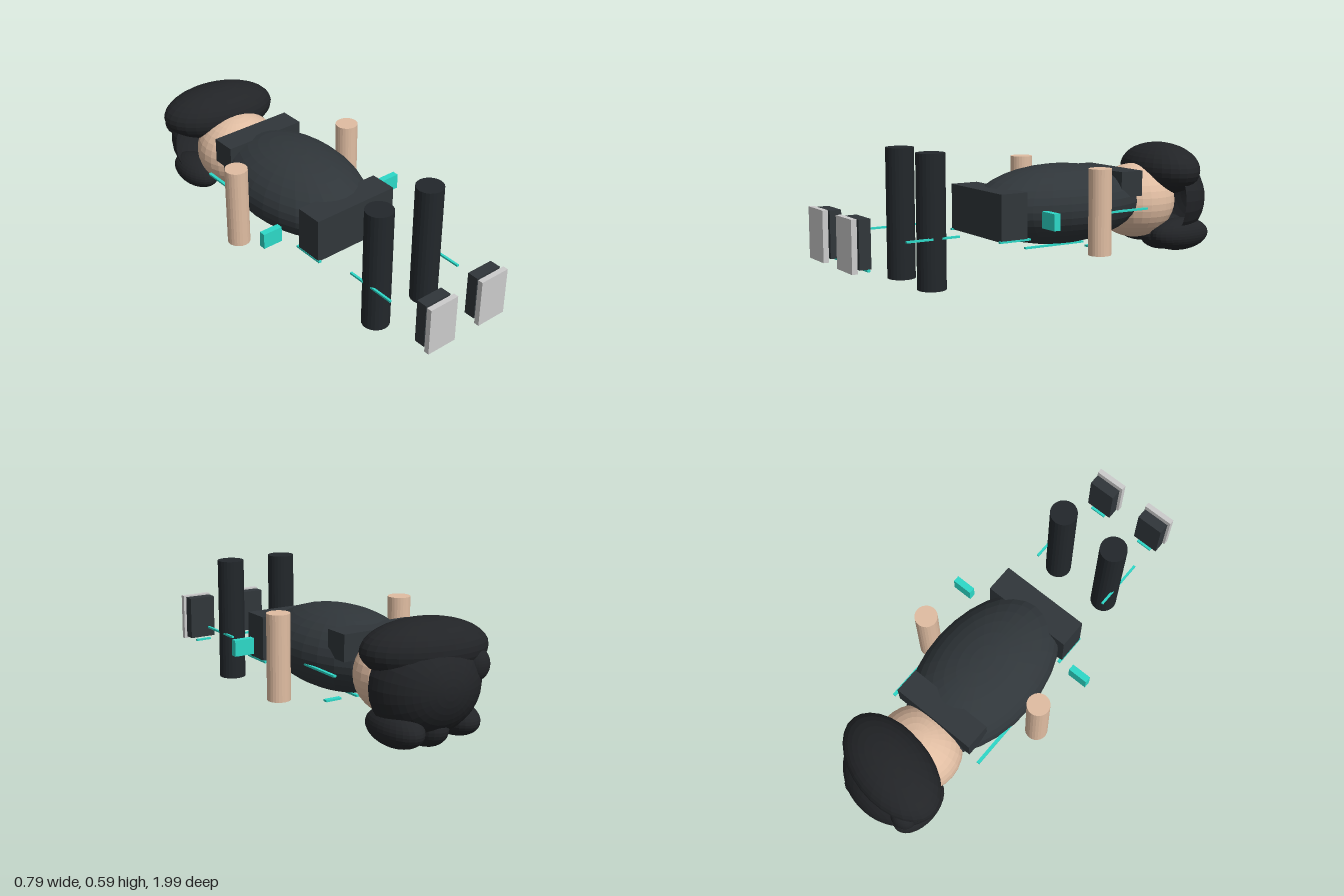
import * as THREE from 'three';

const mat = (color) => new THREE.MeshStandardMaterial({ color, flatShading: true, side: THREE.DoubleSide });

export function createModel() {
  const root = new THREE.Group();
  const suit = mat(0x30363a), dark = mat(0x22272b), hairMat = mat(0x222427);
  const skin = mat(0xe0bda2), teal = mat(0x2dd9c8), grey = mat(0xcccccc);

  const add = (name, geometry, material, [x, y, z], parent = root) => {
    const mesh = new THREE.Mesh(geometry, material);
    mesh.name = name;
    mesh.position.set(x, y, z);
    parent.add(mesh);
    return mesh;
  };
  const box = (name, material, size, pos) => add(name, new THREE.BoxGeometry(...size), material, pos);
  const ball = (name, material, radii, pos, parent) => {
    const g = new THREE.SphereGeometry(1, 28, 18).scale(...radii);
    return add(name, g, material, pos, parent);
  };

  // Body
  ball('torso', suit, [0.272, 0.188, 0.443], [0, 0.298, -0.16]);
  box('collar', suit, [0.415, 0.12, 0.122], [0, 0.39, -0.445]);
  box('pelvis', suit, [0.44, 0.214, 0.136], [0, 0.29, 0.218]);
  ball('head', skin, [0.203, 0.182, 0.2], [0, 0.277, -0.62]);

  // Hair: swept cap behind the head, a large fringe and three lower locks
  const hair = new THREE.Group();
  hair.name = 'hair';
  root.add(hair);
  const capGeo = new THREE.SphereGeometry(1, 28, 12, 0, Math.PI * 2, 0, Math.PI / 2);
  capGeo.rotateX(-Math.PI / 2).scale(0.255, 0.235, 0.225);
  add('hairCap', capGeo, hairMat, [0, 0.285, -0.77], hair).rotation.y = -0.1;
  const fringe = ball('fringe', hairMat, [0.283, 0.128, 0.168], [0, 0.427, -0.782], hair);
  fringe.rotation.y = -0.2;
  ball('sideLockLeft', hairMat, [0.09, 0.08, 0.168], [0.15, 0.113, -0.79], hair);
  ball('sideLockRight', hairMat, [0.09, 0.075, 0.15], [-0.14, 0.115, -0.8], hair);
  ball('napeLock', hairMat, [0.085, 0.09, 0.14], [0.015, 0.107, -0.8], hair);
  ball('backLock', hairMat, [0.06, 0.07, 0.05], [-0.17, 0.36, -0.91], hair);

  // Mirrored limbs, feet and glowing trim
  for (const s of [1, -1]) {
    const side = s > 0 ? 'Left' : 'Right';
    add('arm' + side, new THREE.CylinderGeometry(0.053, 0.053, 0.393, 24), skin, [s * 0.327, 0.297, -0.17]);
    add('leg' + side, new THREE.CylinderGeometry(0.064, 0.064, 0.592, 24), dark, [s * 0.144, 0.296, 0.592]);
    box('foot' + side, suit, [0.134, 0.21, 0.053], [s * 0.145, 0.24, 0.934]);
    box('sole' + side, grey, [0.15, 0.227, 0.025], [s * 0.145, 0.236, 0.985]);
    box('wristBand' + side, teal, [0.098, 0.075, 0.031], [s * 0.348, 0.283, 0.111]);
    box('sideTrim' + side, teal, [0.015, 0.009, 0.235], [s * 0.252, 0.275, -0.385]);
    box('hipTrim' + side, teal, [0.015, 0.009, 0.16], [s * 0.214, 0.184, 0.213]);
    box('legTrim' + side, teal, [0.011, 0.009, 0.255], [s * 0.198, 0.228, 0.612]);
    box('footTrim' + side, teal, [0.08, 0.009, 0.014], [s * 0.145, 0.122, 0.906]);
  }

  // Trim along the back
  box('spineTrim', teal, [0.015, 0.009, 0.33], [0, 0.098, -0.145]);
  box('backTrim', teal, [0.08, 0.009, 0.025], [0.115, 0.094, -0.28]);

  return root;
}
